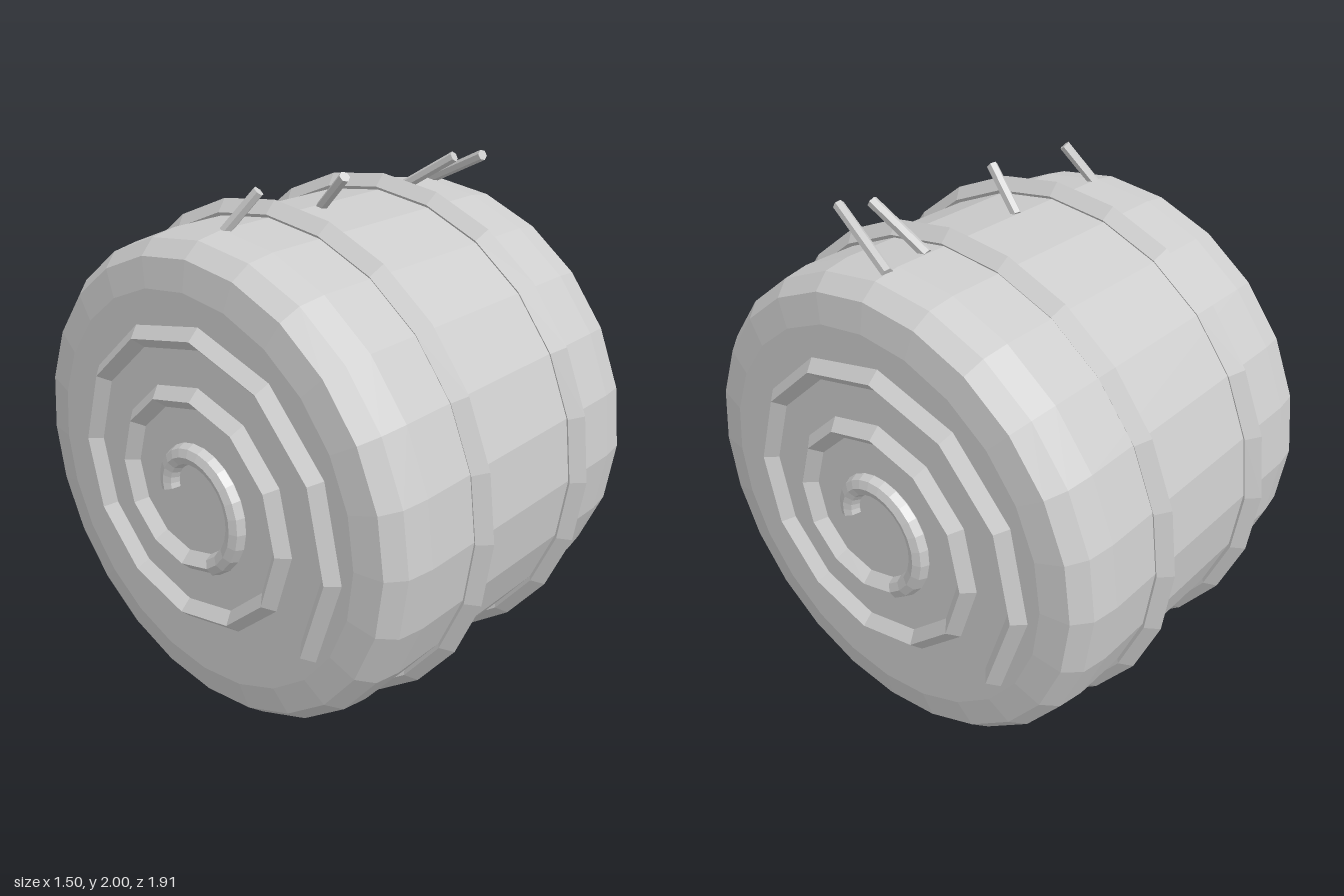
import * as THREE from 'three';

const AXIS_Y = 0.957; // height of the bale's axis
const TURNS = 2.6;

// Flat spiral lying on the end of the bale, between two turn counts
class Spiral extends THREE.Curve {
  constructor(from, to) {
    super();
    this.from = from;
    this.to = to;
  }
  getPoint(t, target = new THREE.Vector3()) {
    const turn = this.from + (this.to - this.from) * t;
    const a = Math.PI * (1 - 2 * turn);
    const r = 0.108 + 0.215 * turn;
    return target.set(0.71, r * Math.sin(a), -r * Math.cos(a));
  }
  // even steps of angle rather than of length
  getPointAt(t, target) { return this.getPoint(t, target); }
  getTangentAt(t, target) { return this.getTangent(t, target); }
}

export function createModel() {
  const model = new THREE.Group();
  model.name = 'hayBale';
  const straw = new THREE.MeshStandardMaterial({ color: 0xcccccc, flatShading: true });
  straw.name = 'straw grey';

  const add = (parent, geometry, name) => {
    const mesh = new THREE.Mesh(geometry, straw);
    mesh.name = name;
    parent.add(mesh);
    return mesh;
  };

  // Rolled body with rounded rims
  const half = [[0.73, 0.707], [0.835, 0.69], [0.885, 0.63], [0.9, 0.53]];
  const profile = [
    [0, -0.707], ...half.map(([r, x]) => [r, -x]),
    ...half.slice().reverse(), [0, 0.707],
  ].map(([r, x]) => new THREE.Vector2(r, x));
  const body = add(model, new THREE.LatheGeometry(profile, 24), 'body');
  body.rotation.z = -Math.PI / 2;
  body.position.y = AXIS_Y;

  // Two binding hoops
  for (const x of [-0.285, 0.285]) {
    const hoop = add(model, new THREE.TorusGeometry(0.913, 0.043, 4, 24), 'bindingHoop');
    hoop.rotation.y = Math.PI / 2;
    hoop.position.set(x, AXIS_Y, 0);
  }

  // Rolled-up spiral on each end: fine inner curl, angular outer coils
  const capEnd = (group, curve, t, sides) => {
    const cap = add(group, new THREE.CircleGeometry(0.04, sides), 'spiralEnd');
    const tangent = curve.getTangent(t).multiplyScalar(t ? 1 : -1);
    cap.position.copy(curve.getPoint(t));
    cap.up.set(1, 0, 0);
    cap.lookAt(cap.position.clone().add(tangent));
  };
  for (const turn of [0, Math.PI]) {
    const spiral = new THREE.Group();
    spiral.name = 'endSpiral';
    const inner = new Spiral(0, 0.69);
    const outer = new Spiral(0.69, TURNS);
    add(spiral, new THREE.TubeGeometry(inner, 18, 0.04, 8), 'innerCurl');
    add(spiral, new THREE.TubeGeometry(outer, 23, 0.04, 4), 'outerCoils');
    capEnd(spiral, inner, 0, 8);
    capEnd(spiral, outer, 1, 4);
    spiral.rotation.y = turn;
    spiral.position.y = AXIS_Y;
    model.add(spiral);
  }

  // Loose stalks poking out of the top: base and tip
  const stalks = [
    [[-0.515, 1.85, 0], [-0.455, 1.985, 0.1]],
    [[-0.068, 1.85, 0.01], [-0.112, 1.985, 0.16]],
    [[0.387, 1.85, 0.01], [0.413, 1.985, 0.225]],
    [[0.575, 1.85, 0], [0.505, 1.985, 0.285]],
  ];
  for (const [from, to] of stalks) {
    const a = new THREE.Vector3(...from);
    const b = new THREE.Vector3(...to);
    const stalk = add(model, new THREE.CylinderGeometry(0.02, 0.02, a.distanceTo(b), 6), 'looseStalk');
    stalk.position.lerpVectors(a, b, 0.5);
    stalk.quaternion.setFromUnitVectors(new THREE.Vector3(0, 1, 0), b.sub(a).normalize());
  }
  return model;
}
